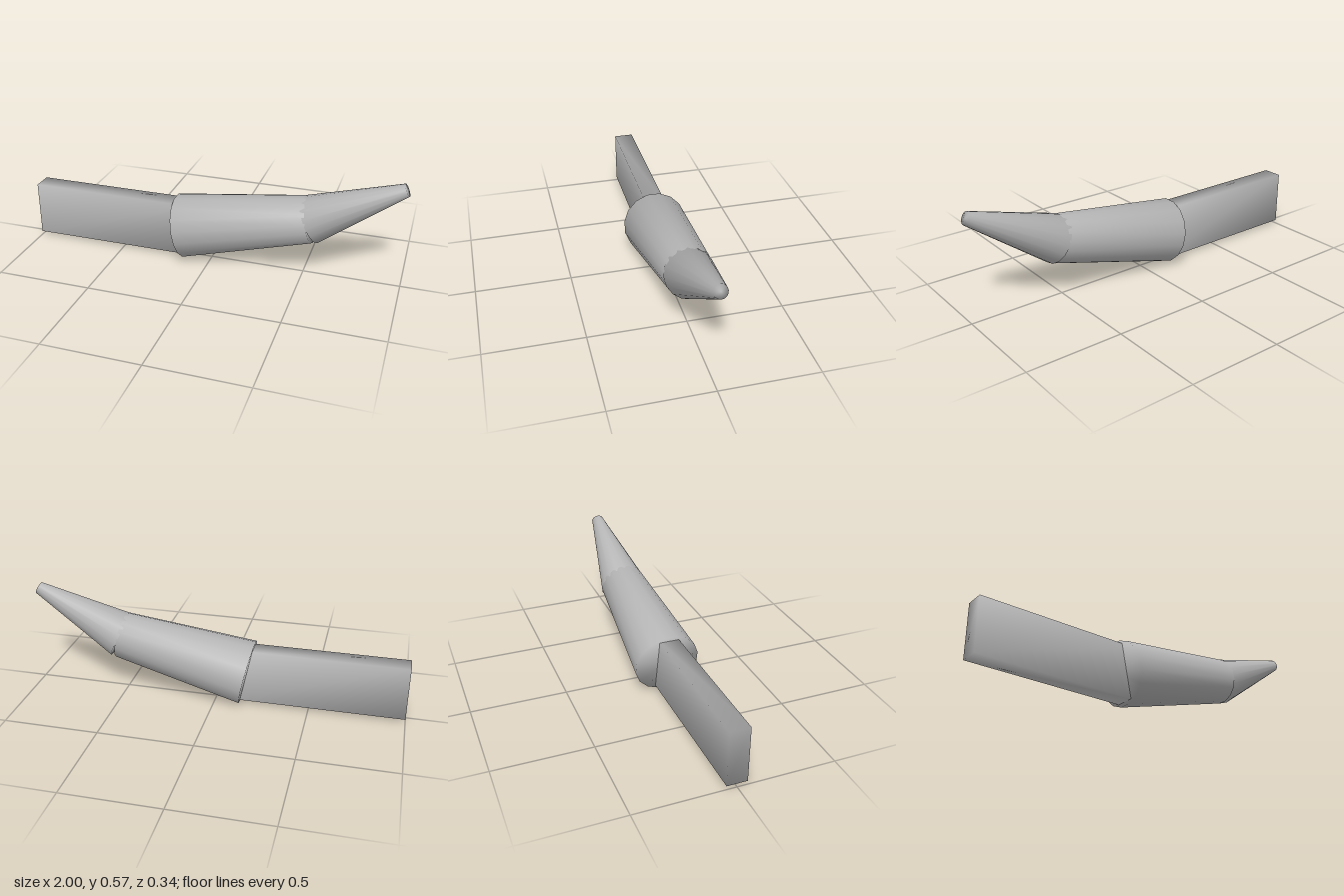
import * as THREE from 'three';
import { mergeVertices } from 'three/addons/utils/BufferGeometryUtils.js';

// Weld all corners so the shading runs smoothly over every edge
function weld(geometry) {
  geometry.deleteAttribute('normal');
  geometry.deleteAttribute('uv');
  const welded = mergeVertices(geometry, 1e-4);
  welded.computeVertexNormals();
  return welded;
}

export function createModel() {
  const model = new THREE.Group();
  const grey = new THREE.MeshStandardMaterial({ color: 0xb4b4b4 });

  function add(name, geometry) {
    const mesh = new THREE.Mesh(weld(geometry), grey);
    mesh.name = name;
    model.add(mesh);
    return mesh;
  }

  // Capped 16-sided frustum between two points in the x-y plane
  function taper(name, [x0, y0], [x1, y1], r0, r1, twist) {
    const length = Math.hypot(x1 - x0, y1 - y0);
    const mesh = add(name, new THREE.CylinderGeometry(r1, r0, length, 16, 1, false, twist));
    mesh.position.set((x0 + x1) / 2, (y0 + y1) / 2, 0);
    mesh.rotation.z = Math.atan2(y1 - y0, x1 - x0) - Math.PI / 2;
  }

  // Flat root bar, its end sunk into the middle segment
  const bar = add('rootBar', new THREE.BoxGeometry(0.9, 0.29, 0.104));
  bar.position.set(-0.55, 0.169, 0);

  // Tapered segments sharing a joint
  const joint = [0.522, 0.313];
  taper('middleSegment', [-0.167, 0.17], joint, 0.172, 0.124, Math.PI / 16);
  taper('tipSegment', joint, [0.983, 0.541], 0.126, 0.033, 0);

  return model;
}
